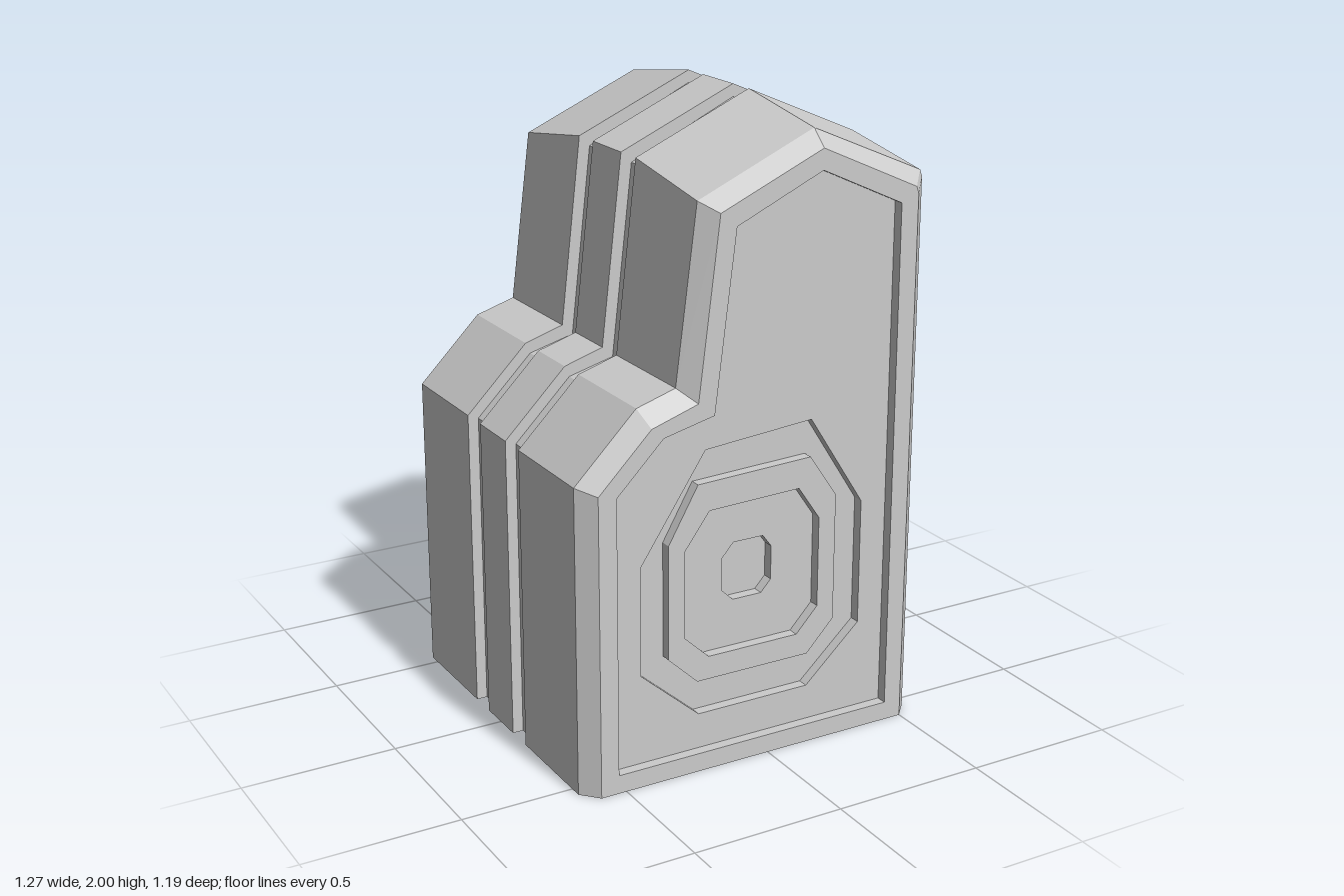
import * as THREE from 'three';

const mat = new THREE.MeshStandardMaterial({ color: 0xcccccc, flatShading: true });
const matInside = new THREE.MeshStandardMaterial({ color: 0xcccccc, flatShading: true, side: THREE.BackSide });
const matDouble = new THREE.MeshStandardMaterial({ color: 0xcccccc, flatShading: true, side: THREE.DoubleSide });

// outline counter-clockwise, holes clockwise, so that every wall faces outwards
const wind = (pts, clockwise) => {
  const v = pts.map(p => new THREE.Vector2(...p));
  return THREE.ShapeUtils.isClockWise(v) === clockwise ? v : v.reverse();
};
const toShape = (pts, holes = []) => {
  const s = new THREE.Shape(wind(pts, false));
  s.holes = holes.map(h => new THREE.Path(wind(h, true)));
  return s;
};
const mirrorX = pts => pts.map(([a, b]) => [-a, b]);

// strip of flat quads joining successive open cross-sections
function loft(sections) {
  const pos = [];
  for (let i = 0; i + 1 < sections.length; i++) {
    const A = sections[i], B = sections[i + 1];
    for (let j = 0; j + 1 < A.length; j++) {
      pos.push(...A[j], ...B[j], ...B[j + 1], ...A[j], ...B[j + 1], ...A[j + 1]);
    }
  }
  const g = new THREE.BufferGeometry();
  g.setAttribute('position', new THREE.Float32BufferAttribute(pos, 3));
  g.computeVertexNormals();
  return g;
}

// housing profiles (x, y), from the back foot over the roof to the gate side
const outer = [[-0.635, 0], [-0.635, 0.985], [-0.43, 1.19], [-0.3, 1.23], [-0.23, 1.83], [0.16, 2],
  [0.542, 1.834], [0.55, 1.812], [0.55, 1.19]];
const groove = [[-0.6, 0], [-0.6, 0.97], [-0.415, 1.155], [-0.265, 1.195], [-0.195, 1.795], [0.16, 1.96],
  [0.504, 1.809], [0.512, 1.787], [0.512, 1.19]];
const tapered = outer.map(([x, y]) => [x, y > 1.5 ? y - 0.055 : y]);
const face = [[-0.585, 0], [-0.585, 0.965], [-0.41, 1.14], [-0.255, 1.19], [-0.185, 1.745], [0.16, 1.895],
  [0.492, 1.744], [0.5, 1.722], [0.5, 0]];
const taperedFull = [...tapered.slice(0, -1), [0.55, 0]];

// recess outlines on the large faces (x, y)
const panel = [[-0.525, 0.06], [-0.525, 0.95], [-0.37, 1.105], [-0.2, 1.145], [-0.13, 1.7], [0.16, 1.83], [0.44, 1.7], [0.44, 0.06]];
const octagon = [[-0.21, 1.03], [0.16, 1.06], [0.35, 0.76], [0.35, 0.35], [0.16, 0.175], [-0.23, 0.175], [-0.43, 0.35], [-0.43, 0.7]];
const ringOut = [[-0.235, 0.925], [0.16, 0.94], [0.255, 0.8], [0.255, 0.385], [0.16, 0.285], [-0.235, 0.285], [-0.335, 0.38], [-0.335, 0.75]];
const ringIn = [[-0.195, 0.835], [0.12, 0.845], [0.195, 0.735], [0.195, 0.44], [0.12, 0.36], [-0.195, 0.36], [-0.28, 0.44], [-0.28, 0.72]];
const hub = [[-0.09, 0.7], [0.015, 0.7], [0.045, 0.66], [0.045, 0.55], [0.01, 0.512], [-0.09, 0.512], [-0.13, 0.55], [-0.13, 0.655]];

// gate wall outlines (z, y)
const opening = [[-0.24, 0], [-0.345, 0.4], [-0.345, 0.87], [0, 0.77], [0.345, 0.87], [0.345, 0.4], [0.24, 0]];
const alcoveBack = [[-0.185, 0], [-0.29, 0.4], [-0.29, 0.8], [0, 0.715], [0.29, 0.8], [0.29, 0.4], [0.185, 0]];
const gatePanel = [[0.505, 1.155], [0.245, 1.155], [0.38, 0.88], [0.38, 0.38], [0.29, 0.04], [0.505, 0.04]];
const pentagon = [[0.15, 1.155], [-0.15, 1.155], [-0.285, 0.9], [0, 0.815], [0.285, 0.9]];
const pentagonMid = [[0.125, 1.11], [-0.125, 1.11], [-0.23, 0.92], [0, 0.85], [0.23, 0.92]];
const pentagonIn = [[0.1, 1.075], [-0.1, 1.075], [-0.175, 0.935], [0, 0.885], [0.175, 0.935]];

export function createModel() {
  const model = new THREE.Group();
  const add = (name, geo, m = mat) => {
    const mesh = new THREE.Mesh(geo, m);
    mesh.name = name;
    model.add(mesh);
    return mesh;
  };
  const extrude = (pts, holes, depth) =>
    new THREE.ExtrudeGeometry(toShape(pts, holes), { depth, bevelEnabled: false });
  // plate facing +z or -z, between two distances from the middle
  const facePlate = (name, s, pts, holes, z0, z1) =>
    add(name, extrude(pts, holes, z1 - z0).translate(0, 0, s > 0 ? z0 : -z1));
  // plate facing +x
  const gatePlate = (name, pts, holes, x0, x1) =>
    add(name, extrude(pts, holes, x1 - x0).rotateY(Math.PI / 2).translate(x0, 0, 0));
  const at = (pts, z) => pts.map(([x, y]) => [x, y, z]);

  // roof and back shell with two grooves running over it
  add('housing', loft([
    at(tapered, -0.54), at(outer, -0.18), at(groove, -0.18), at(groove, -0.09), at(outer, -0.09),
    at(outer, 0.09), at(groove, 0.09), at(groove, 0.18), at(outer, 0.18), at(tapered, 0.54),
  ]));

  // chamfers and stepped recesses on both large faces
  add('frontChamfer', loft([at(taperedFull, 0.54), at(face, 0.595)]));
  add('backChamfer', loft([at(face, -0.595), at(taperedFull, -0.54)]));
  for (const s of [1, -1]) {
    const side = s > 0 ? 'front' : 'back';
    facePlate(side + 'Frame', s, face, [panel], 0.56, 0.595);
    facePlate(side + 'Panel', s, panel, [octagon], 0.525, 0.56);
    facePlate(side + 'OctagonFloor', s, octagon, [hub], 0.49, 0.525);
    facePlate(side + 'RaisedRing', s, ringOut, [ringIn], 0.525, 0.56);
    facePlate(side + 'HubFloor', s, hub, [], 0.47, 0.49);
  }

  // gate wall with its recessed panels
  const gatePanels = [gatePanel, mirrorX(gatePanel)];
  gatePlate('gateWall', [[-0.54, 0], ...opening, [0.54, 0], [0.54, 1.19], [-0.54, 1.19]], gatePanels, 0.5, 0.55);
  gatePanels.forEach(p => gatePlate('gatePanelFloor', p, [], 0.5, 0.52));

  // alcove tapering into the body
  const alcoveX = 0.32;
  add('alcoveWalls', loft([
    opening.map(([z, y]) => [0.55, y, z]), alcoveBack.map(([z, y]) => [alcoveX, y, z]),
  ]), matDouble);
  add('alcoveBack', new THREE.ShapeGeometry(toShape(alcoveBack)).rotateY(Math.PI / 2).translate(alcoveX, 0, 0));

  // stepped keystone above the alcove
  gatePlate('keystoneBase', pentagon, [], 0.55, 0.592);
  gatePlate('keystoneRim', pentagonMid, [pentagonIn], 0.592, 0.632);

  // underside (x, z) with groove notches, alcove notch and two slots
  const half = [[0.55, 0.24], [0.55, 0.54], [0.5, 0.595], [-0.585, 0.595], [-0.635, 0.54],
    [-0.635, 0.18], [-0.6, 0.18], [-0.6, 0.09], [-0.635, 0.09]];
  const base = [[alcoveX, 0.185], ...half, ...half.map(([x, z]) => [x, -z]).reverse(), [alcoveX, -0.185]];
  const slots = [0.135, -0.135].map(z =>
    [[-0.58, z - 0.045], [-0.23, z - 0.045], [-0.23, z + 0.045], [-0.58, z + 0.045]]);
  add('underside', new THREE.ShapeGeometry(toShape(base, slots)).rotateX(Math.PI / 2));
  for (const z of [0.135, -0.135]) {
    add('undersideSlot', new THREE.BoxGeometry(0.35, 0.12, 0.09), matInside).position.set(-0.405, 0.06, z);
  }
  return model;
}
